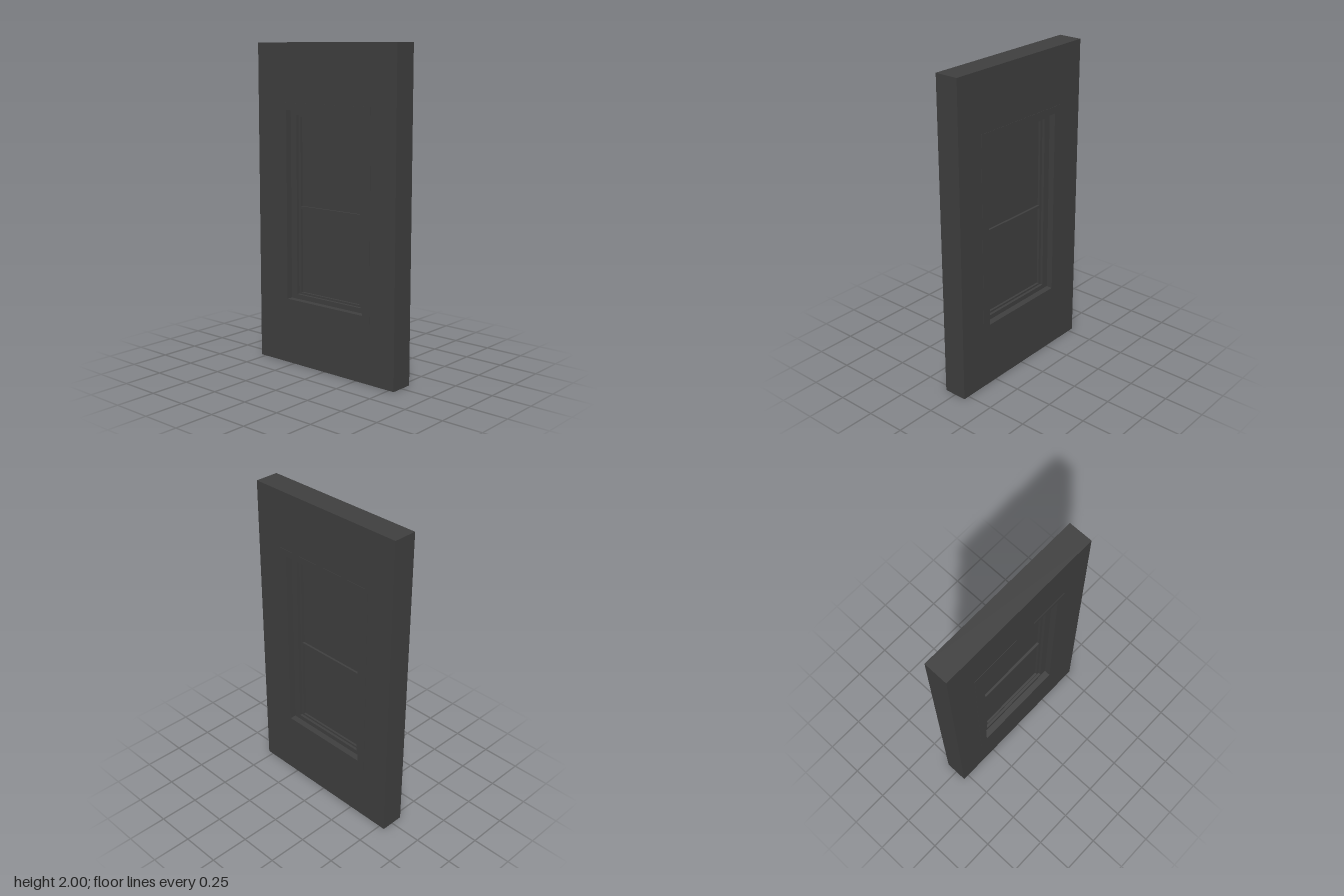
import * as THREE from 'three';

const material = new THREE.MeshStandardMaterial({ color: 0x404040 });

// Rectangle given as [half width along z, bottom y, top y]
function trace(path, [w, y0, y1]) {
  path.moveTo(-w, y0);
  path.lineTo(w, y0);
  path.lineTo(w, y1);
  path.lineTo(-w, y1);
  path.closePath();
  return path;
}

// Upright panel facing +x and -x, with rectangular openings
function panel(name, outer, holes, halfDepth) {
  const shape = trace(new THREE.Shape(), outer);
  for (const hole of holes) shape.holes.push(trace(new THREE.Path(), hole));
  const geometry = new THREE.ExtrudeGeometry(shape, { depth: halfDepth * 2, bevelEnabled: false });
  geometry.translate(0, 0, -halfDepth);
  geometry.rotateY(Math.PI / 2);
  const mesh = new THREE.Mesh(geometry, material);
  mesh.name = name;
  return mesh;
}

export function createModel() {
  const group = new THREE.Group();
  group.name = 'wallWithWindow';

  const wall = [0.538, 0, 2];
  const trim = [0.355, 0.37, 1.638];
  const opening = [0.302, 0.413, 1.594];
  const sash = [0.255, 0.443, 1.565];
  const lowerPane = [0.236, 0.455, 0.983];
  const upperPane = [0.236, 1.002, 1.553];

  group.add(
    panel('wall', wall, [trim], 0.0755),
    // casing stands slightly proud of the wall on both faces
    panel('casing', trim, [opening], 0.077),
    // stepped window frame, each layer further recessed
    panel('windowFrame', opening, [sash], 0.037),
    panel('sash', sash, [lowerPane, upperPane], 0.02),
    panel('lowerPane', lowerPane, [], 0.006),
    panel('upperPane', upperPane, [], 0.006)
  );
  return group;
}
